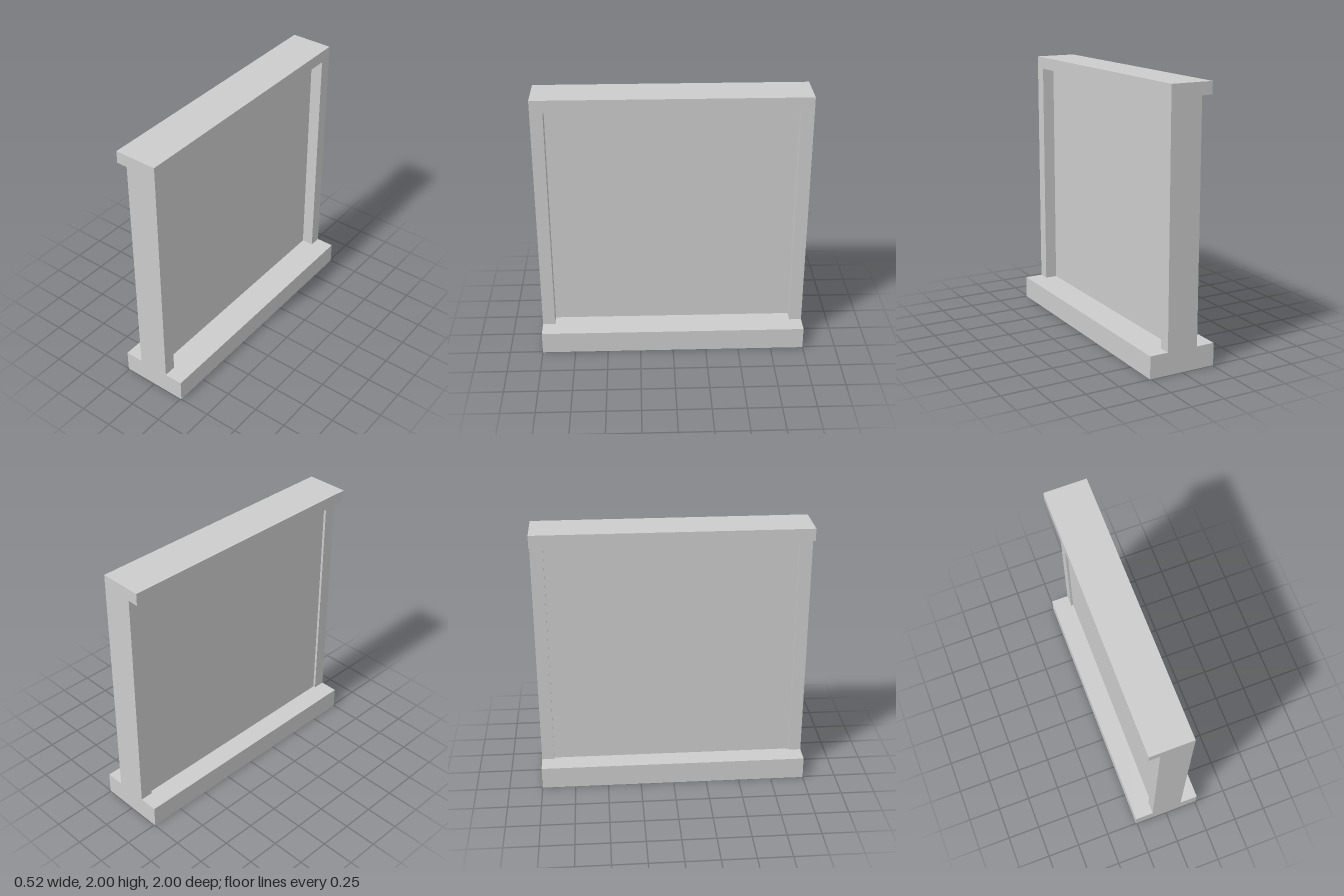
import * as THREE from 'three';

const material = new THREE.MeshStandardMaterial({ color: 0xcccccc, flatShading: true });

// Box given by its lower and upper limits on each axis
function block(name, [x0, x1], [y0, y1], [z0, z1]) {
  const mesh = new THREE.Mesh(new THREE.BoxGeometry(x1 - x0, y1 - y0, z1 - z0), material);
  mesh.position.set((x0 + x1) / 2, (y0 + y1) / 2, (z0 + z1) / 2);
  mesh.name = name;
  return mesh;
}

export function createModel() {
  const group = new THREE.Group();
  group.name = 'framedPanel';

  const sillTop = 0.167, railBottom = 1.91, opening = 0.907;
  const frameX = [-0.119, 0.118];

  // Wide sill, and top rail with a ledge overhanging on the -x side
  group.add(block('sill', [-0.258, 0.258], [0, sillTop], [-1, 1]));
  group.add(block('topRail', [-0.2, frameX[1]], [railBottom, 2], [-1, 1]));

  // Upright jambs at both ends
  group.add(block('frontJamb', frameX, [sillTop, railBottom], [opening, 1]));
  group.add(block('backJamb', frameX, [sillTop, railBottom], [-1, -opening]));

  // Panel, deeply recessed on +x and slightly on -x
  group.add(block('panel', [-0.1, 0.027], [sillTop, railBottom], [-opening, opening]));

  return group;
}
